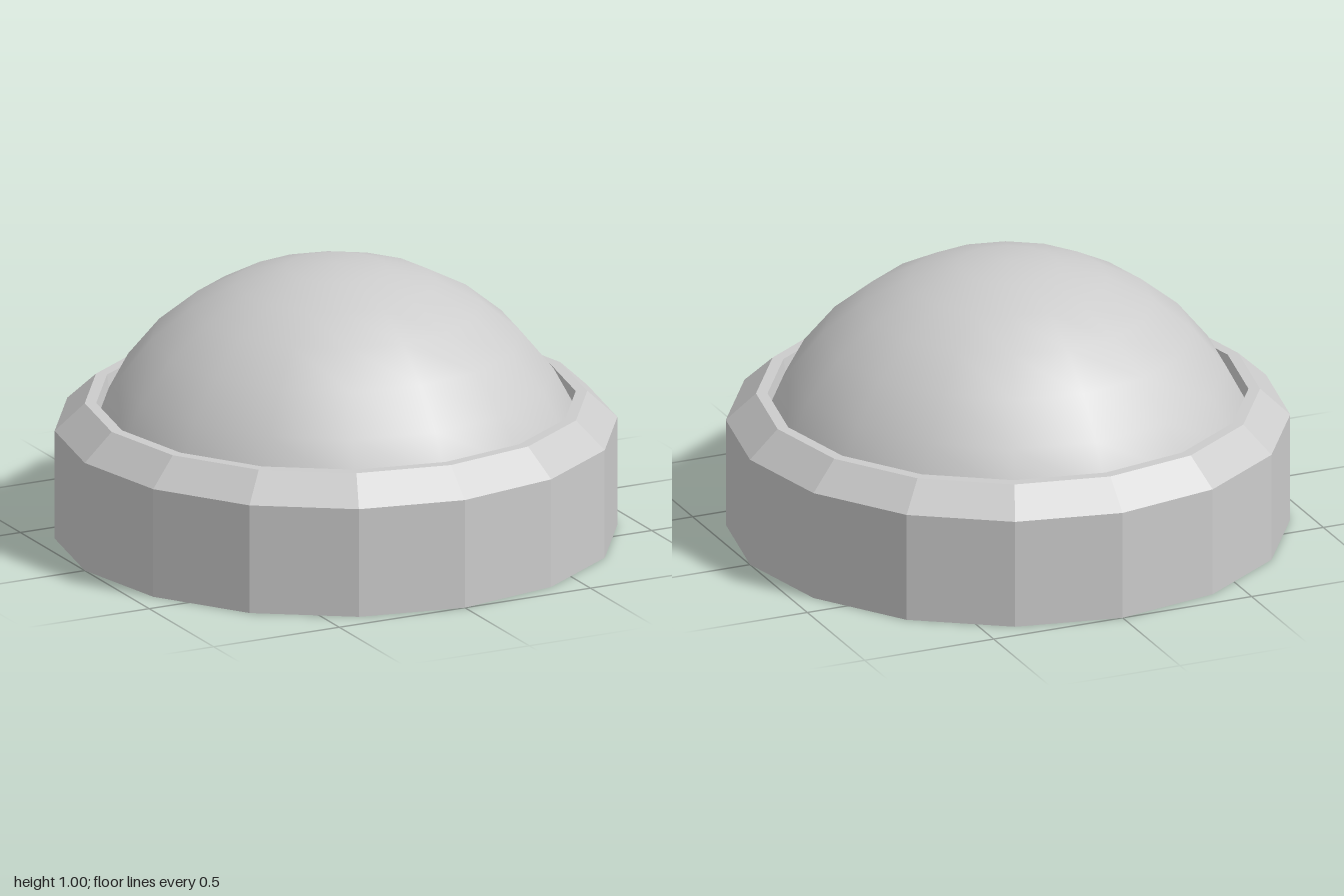
import * as THREE from 'three';

const SIDES = 16;

export function createModel() {
  const group = new THREE.Group();
  group.name = 'domedButton';
  const grey = new THREE.MeshStandardMaterial({ color: 0xcccccc });
  grey.name = 'light grey';

  // Faceted base: closed underside, straight wall, bevel, narrow rim and inner lip
  const profile = [[0, 0], [1, 0], [1, 0.4], [0.893, 0.5], [0.852, 0.5], [0.838, 0.4]]
    .map(([r, y]) => new THREE.Vector2(r, y));
  const baseGeometry = new THREE.LatheGeometry(profile, SIDES).toNonIndexed();
  baseGeometry.computeVertexNormals();
  const base = new THREE.Mesh(baseGeometry, grey);
  base.name = 'base';
  group.add(base);

  // Smooth dome, its lower edge sunk into the rim
  const domeGeometry = new THREE.SphereGeometry(0.93, SIDES, 6, 0, Math.PI * 2, 0, Math.PI * 0.375);
  const dome = new THREE.Mesh(domeGeometry, grey);
  dome.name = 'dome';
  dome.position.y = 0.07;
  group.add(dome);

  return group;
}
